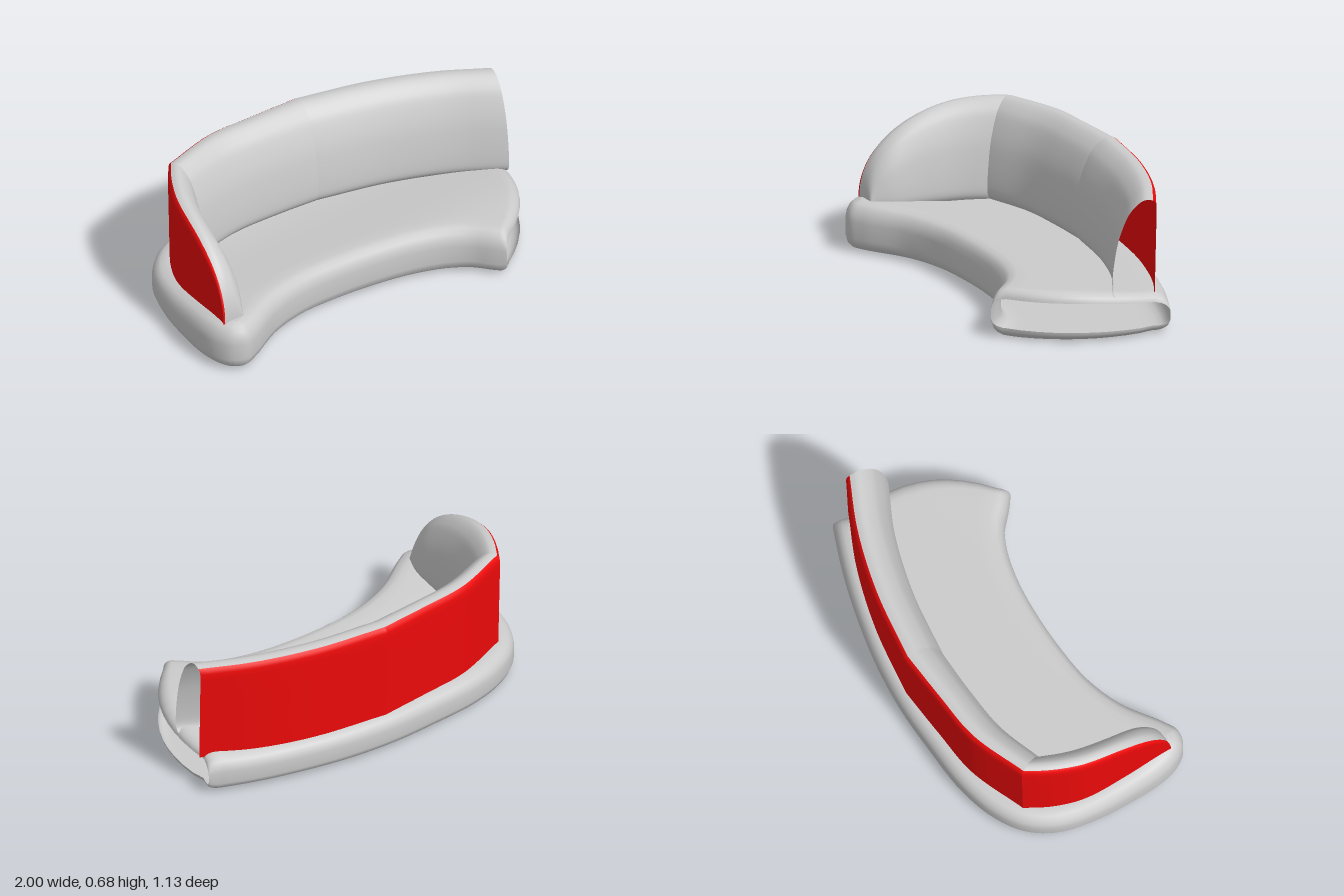
import * as THREE from 'three';

const grey = new THREE.MeshStandardMaterial({ color: 0xcccccc, side: THREE.DoubleSide });
const red = new THREE.MeshStandardMaterial({ color: 0xee0a0a, side: THREE.DoubleSide });

// Plan curve through [x, z] points
const planCurve = (pts) =>
  new THREE.CatmullRomCurve3(pts.map(([x, z]) => new THREE.Vector3(x, 0, z)), false, 'centripetal');

// Smooth surface through rows of cross-section points
function loft(rows, closed, material, name) {
  const n = rows[0].length;
  const index = [];
  for (let i = 0; i < rows.length - 1; i++) {
    for (let j = 0; j < (closed ? n : n - 1); j++) {
      const a = i * n + j, b = i * n + ((j + 1) % n), c = a + n, d = b + n;
      index.push(a, c, b, b, c, d);
    }
  }
  const geo = new THREE.BufferGeometry();
  geo.setAttribute('position', new THREE.Float32BufferAttribute(rows.flat(2), 3));
  geo.setIndex(index);
  geo.computeVertexNormals();
  const mesh = new THREE.Mesh(geo, material);
  mesh.name = name;
  return mesh;
}

// Height of the seat top, lower towards the rear
const seatHeight = (z) => 0.18 + 0.065 * THREE.MathUtils.smoothstep(z, -0.35, 0.35);

// Rounded, curved seat base: hollow and open at the +x end
function seatBase() {
  const back = [[1, -0.17], [0.8, -0.28], [0.6, -0.37], [0.35, -0.46], [0.1, -0.52], [-0.15, -0.55],
    [-0.4, -0.567], [-0.6, -0.54], [-0.75, -0.475], [-0.86, -0.36], [-0.935, -0.18], [-0.98, 0.02],
    [-1, 0.18], [-0.99, 0.28], [-0.95, 0.355]];
  const front = [[-0.88, 0.39], [-0.8, 0.365], [-0.6, 0.27], [-0.4, 0.23], [-0.2, 0.235], [0, 0.26],
    [0.2, 0.305], [0.35, 0.365], [0.45, 0.435], [0.51, 0.51], [0.56, 0.565]];
  const outline = planCurve([...back, ...front]);
  outline.arcLengthDivisions = 800;
  const tip = planCurve(back).getLength() / outline.getLength();
  // [inset, fraction of height] from bottom to top
  const edge = [[0.09, 0], [0.055, 0.015], [0.03, 0.06], [0.01, 0.14], [0, 0.28], [0, 0.62],
    [0.006, 0.76], [0.02, 0.88], [0.04, 0.96], [0.075, 1]];
  const inner = [0.1, 0.2, 0.3, 0.4, 0.5, 0.6, 0.7, 0.8, 0.9];

  const sample = (t) => {
    const p = outline.getPointAt(t), d = outline.getTangentAt(t);
    return (inset) => [p.x + d.z * inset, p.z - d.x * inset];
  };
  const section = (s, lip) => {
    const f = sample(tip + (1 - tip) * s), b = sample(tip * (1 - s));
    const bulge = 0.1 * s ** 5;
    const put = ([x, z], k) => [x, seatHeight(z) * THREE.MathUtils.lerp(k, 0.5, 0.4 * lip), z];
    const across = (u, k) => {
      const [fx, fz] = f(0.075), [bx, bz] = b(0.075), o = bulge * 4 * u * (1 - u);
      return put([fx + (bx - fx) * u + 0.86 * o, fz + (bz - fz) * u + 0.52 * o], k);
    };
    return [
      ...edge.map(([i, k]) => put(f(i), k)),
      ...inner.map((u) => across(u, 1)),
      ...[...edge].reverse().map(([i, k]) => put(b(i), k)),
      ...[...inner].reverse().map((u) => across(u, 0)),
    ];
  };
  const rows = [];
  for (let i = 0; i <= 70; i++) rows.push(section(0.975 * (i / 70) ** 1.4, 0));
  // Rounded lip around the open end
  for (let a = 1; a <= 6; a++) {
    const q = (a / 6) * Math.PI / 2;
    rows.push(section(0.975 + 0.025 * Math.sin(q), 1 - Math.cos(q)));
  }
  return loft(rows, true, grey, 'seatBase');
}

// Backrest profiles: [0 = rear .. 1 = front, height]
const rearProfile = [[0.05, 0.17], [0.035, 0.3], [0.015, 0.5], [0, 0.62], [0.005, 0.65], [0.03, 0.668], [0.08, 0.677]];
const frontCurve = new THREE.SplineCurve([[0.08, 0.677], [0.2, 0.683], [0.33, 0.678], [0.5, 0.65], [0.67, 0.6],
  [0.86, 0.49], [0.96, 0.37], [1, 0.27], [0.98, 0.225], [0.9, 0.2]].map((p) => new THREE.Vector2(...p)));
const frontProfile = frontCurve.getPoints(36).map((p) => [p.x, p.y]);

// One backrest section with a grey cushion in front and a red panel behind
function backSection(name, frontPts, rearPts, tapered) {
  const group = new THREE.Group();
  group.name = name;
  const f = planCurve(frontPts), r = planCurve(rearPts), steps = 28, floor = 0.235;
  const rows = (profile) => Array.from({ length: steps + 1 }, (_, i) => {
    const t = tapered ? Math.sin((i / steps) * Math.PI / 2) : i / steps;
    const k = tapered ? Math.max(0, 1 - t ** 2.3) ** 0.45 : 1;
    const a = r.getPointAt(t), b = f.getPointAt(t);
    return profile.map(([u, y]) => [
      a.x + (b.x - a.x) * u,
      y > floor ? floor + (y - floor) * k : y,
      a.z + (b.z - a.z) * u,
    ]);
  });
  group.add(loft(rows(frontProfile), false, grey, 'cushion'));
  group.add(loft(rows(rearProfile), false, red, 'rearPanel'));
  return group;
}

export function createModel() {
  const sofa = new THREE.Group();
  sofa.name = 'curvedSofa';
  sofa.add(seatBase());
  sofa.add(backSection('leftBackrest',
    [[0.93, 0.12], [0.72, -0.02], [0.42, -0.155], [0.07, -0.255]],
    [[0.985, -0.1], [0.75, -0.25], [0.45, -0.385], [0.11, -0.485]], false));
  sofa.add(backSection('middleBackrest',
    [[0.07, -0.255], [-0.15, -0.28], [-0.4, -0.29], [-0.64, -0.25]],
    [[0.11, -0.485], [-0.15, -0.5], [-0.4, -0.508], [-0.7, -0.44]], false));
  sofa.add(backSection('rightArm',
    [[-0.64, -0.25], [-0.7, -0.12], [-0.745, 0.04], [-0.78, 0.2], [-0.83, 0.295]],
    [[-0.7, -0.44], [-0.78, -0.34], [-0.86, -0.19], [-0.91, 0.03], [-0.945, 0.285]], true));
  return sofa;
}
